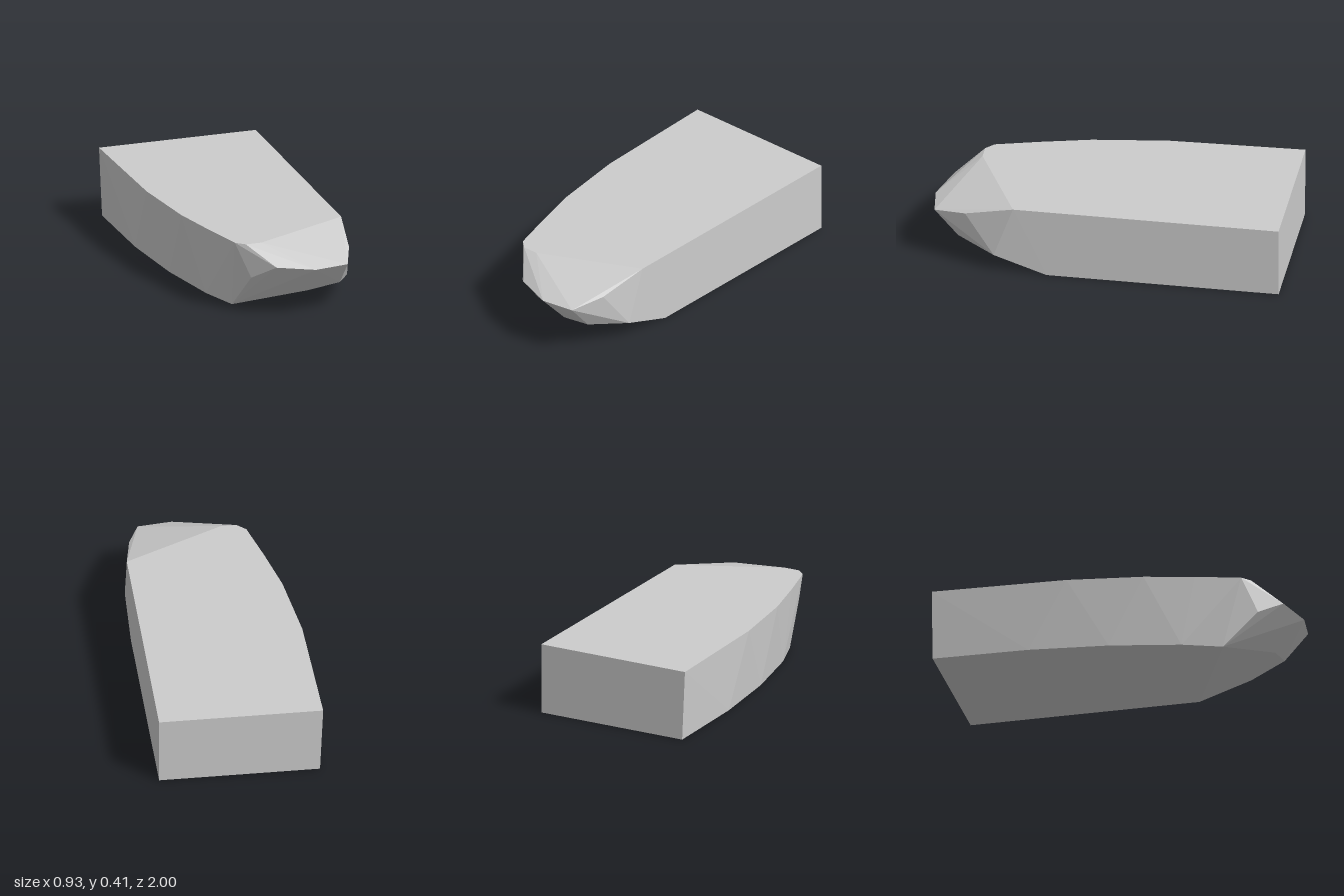
import * as THREE from 'three';
import { ConvexGeometry } from 'three/addons/geometries/ConvexGeometry.js';

export function createModel() {
  const group = new THREE.Group();
  group.name = 'facetedBlock';
  const grey = new THREE.MeshStandardMaterial({ color: 0xcccccc });
  grey.name = 'light grey';

  const height = 0.406;
  const at = (y, outline) => outline.map(([x, z]) => new THREE.Vector3(x, y, z));

  // Flat top: straight on the left side, curved on the right, cut off at the nose
  const top = at(height, [
    [0.462, -1], [0.462, 0.51], [-0.1, 0.775], [-0.19, 0.775], [-0.24, 0.73],
    [-0.31, 0.48], [-0.38, 0.2], [-0.44, -0.23], [-0.465, -1],
  ]);

  // Flat underside, slightly narrower and shorter
  const bottom = at(0, [
    [0.462, -1], [0.462, 0.32], [-0.22, 0.62],
    [-0.3, 0.4], [-0.385, 0.0], [-0.435, -0.45], [-0.447, -1],
  ]);

  // Corners of the chiselled nose
  const nose = [
    [0.415, 0.328, 0.79], [0.345, 0.295, 0.975], [0.15, 0.292, 1],
    [-0.06, 0.305, 0.93], [-0.17, 0.217, 0.81],
    [0.16, 0.112, 0.83], [0.345, 0.143, 0.84], [0.46, 0.1, 0.62],
  ].map((p) => new THREE.Vector3(...p));

  const body = new THREE.Mesh(new ConvexGeometry([...top, ...bottom, ...nose]), grey);
  body.name = 'body';
  group.add(body);
  return group;
}
